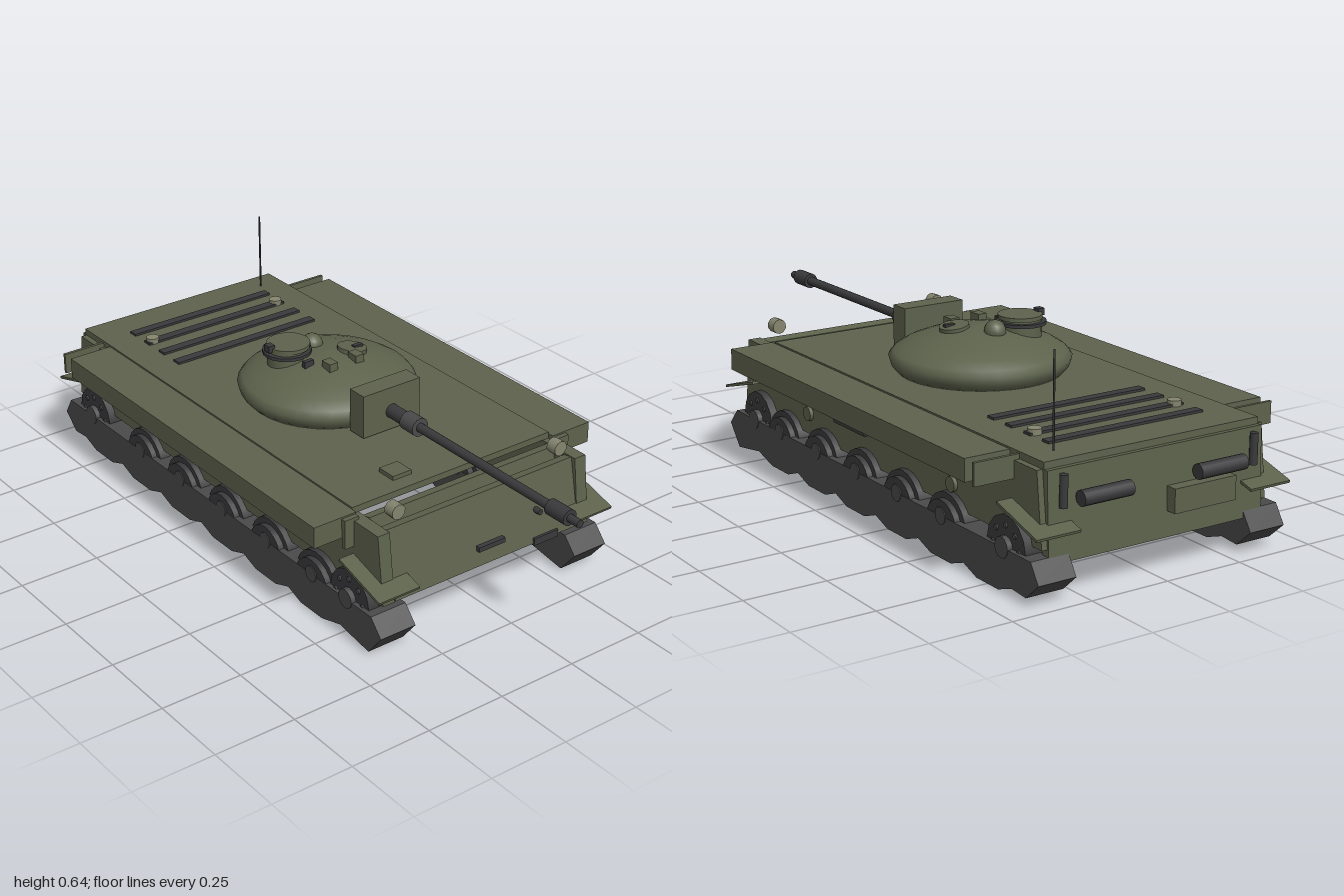
import * as THREE from 'three';

const olive = new THREE.MeshStandardMaterial({ color: 0x5d624c });
const dark = new THREE.MeshStandardMaterial({ color: 0x3a3a3c });
const rubber = new THREE.MeshStandardMaterial({ color: 0x4a4a4a });
const lampMat = new THREE.MeshStandardMaterial({ color: 0x85856f });

export function createModel() {
  const model = new THREE.Group();

  function add(name, geo, mat, x, y, z, parent = model) {
    const m = new THREE.Mesh(geo, mat);
    m.name = name;
    m.position.set(x, y, z);
    parent.add(m);
    return m;
  }
  // box given by its extents on each axis
  function box(name, mat, [x0, x1], [y0, y1], [z0, z1]) {
    return add(name, new THREE.BoxGeometry(x1 - x0, y1 - y0, z1 - z0), mat,
      (x0 + x1) / 2, (y0 + y1) / 2, (z0 + z1) / 2);
  }
  // cylinder along the chosen axis
  function cyl(name, mat, axis, r, len, x, y, z, seg = 16) {
    const g = new THREE.CylinderGeometry(r, r, len, seg);
    if (axis === 'x') g.rotateZ(Math.PI / 2);
    if (axis === 'z') g.rotateX(Math.PI / 2);
    return add(name, g, mat, x, y, z);
  }
  // plate across the hull from a (z, y) line, w half width, t thickness
  function plate(name, w, t, z0, y0, z1, y1, cx = 0) {
    const len = Math.hypot(z1 - z0, y1 - y0);
    const m = add(name, new THREE.BoxGeometry(w * 2, len, t), olive, cx, (y0 + y1) / 2, (z0 + z1) / 2);
    m.rotation.x = Math.atan2(z1 - z0, y1 - y0);
    return m;
  }

  // open-bottomed hull
  box('deck', olive, [-0.358, 0.358], [0.36, 0.38], [-0.93, 0.482]);
  plate('innerFrontPlate', 0.335, 0.03, 0.55, 0.15, 0.515, 0.36);
  plate('outerFrontPlate', 0.335, 0.032, 0.632, 0.15, 0.59, 0.357);
  plate('rearPlate', 0.358, 0.03, -0.942, 0.107, -0.93, 0.36);

  // side profile shared by both hull walls
  const wall = new THREE.Shape([[0.645, 0.15], [0.62, 0.36], [-0.925, 0.36], [-0.95, 0.15]]
    .map(([z, y]) => new THREE.Vector2(-z, y)));
  const wallGeo = new THREE.ExtrudeGeometry(wall, { depth: 0.04, bevelEnabled: false });
  wallGeo.translate(0, 0, -0.02).rotateY(Math.PI / 2);

  // track outline, scalloped under the wheels
  const wheelZ = [0.365, 0.14, -0.085, -0.31, -0.535, -0.76];
  const outline = [[-0.955, 0.13], [0.64, 0.13], [0.685, 0.08], [0.63, 0.012], [0.575, 0.02], [0.5, 0.032]];
  for (const z of wheelZ) {
    outline.push([z + 0.05, 0.008], [z - 0.05, 0.008], [z - 0.112, 0.03]);
  }
  outline.push([-0.935, 0.025], [-0.99, 0.075]);
  const trackShape = new THREE.Shape(outline.map(([z, y]) => new THREE.Vector2(-z, y)));
  const trackGeo = new THREE.ExtrudeGeometry(trackShape, { depth: 0.12, bevelEnabled: false });
  trackGeo.translate(0, 0, -0.06).rotateY(Math.PI / 2);

  for (const s of [-1, 1]) {
    const span = (a, b) => (s > 0 ? [a, b] : [-b, -a]);
    add('hullSide', wallGeo, olive, s * 0.356, 0, 0);
    box('fender', olive, span(0.358, 0.5), [0.31, 0.375], [-0.78, 0.5]);
    box('rearFenderBracket', olive, span(0.36, 0.5), [0.31, 0.375], [-0.825, -0.815]);
    box('frontFenderBracket', olive, span(0.36, 0.407), [0.28, 0.37], [0.5, 0.515]);
    plate('frontMudguard', 0.07, 0.008, 0.69, 0.2, 0.51, 0.252, s * 0.355);
    plate('rearMudguard', 0.07, 0.008, -0.995, 0.2, -0.815, 0.252, s * 0.355);

    // fittings on the hull side
    for (const z of [0.24, -0.54]) cyl('sidePort', olive, 'x', 0.022, 0.06, s * 0.357, 0.215, z);
    box('sideRail', dark, span(0.33, 0.385), [0.23, 0.243], [-0.09, 0.085]);
    box('sideVent', olive, span(0.33, 0.385), [0.286, 0.325], [-0.58, -0.465]);

    // running gear
    add('track', trackGeo, rubber, s * 0.354, 0, 0);
    for (const z of wheelZ.slice(0, 5)) {
      cyl('roadWheel', dark, 'x', 0.095, 0.08, s * 0.355, 0.098, z, 20);
      cyl('wheelRim', dark, 'x', 0.075, 0.118, s * 0.354, 0.1, z, 20);
      cyl('wheelHub', rubber, 'x', 0.025, 0.124, s * 0.354, 0.13, z, 12);
    }
    for (const z of [0.525, -0.825]) {
      cyl('sprocket', dark, 'x', 0.088, 0.09, s * 0.355, 0.128, z, 14);
      cyl('sprocketHub', rubber, 'x', 0.03, 0.124, s * 0.354, 0.13, z, 12);
      for (let i = 0; i < 8; i++) {
        const a = (i / 8) * Math.PI * 2;
        cyl('sprocketBolt', rubber, 'x', 0.008, 0.1, s * 0.355, 0.128 + 0.06 * Math.sin(a), z + 0.06 * Math.cos(a), 6);
      }
    }

    // lamps and rear fittings
    cyl('headlamp', lampMat, 'z', 0.023, 0.035, s * 0.293, 0.4, 0.587, 10);
    cyl('exhaust', dark, 'x', 0.022, 0.16, s * 0.193, 0.28, -0.975);
    cyl('rearCanister', dark, 'y', 0.012, 0.09, s * 0.318, 0.305, -0.962, 10);
    cyl('fillerCap', lampMat, 'y', 0.02, 0.02, s * 0.237, 0.387, -0.72);
  }

  // front and rear plate fittings
  box('towBar', dark, [-0.04, 0.055], [0.2, 0.215], [0.6, 0.65]);
  box('frontStep', dark, [0.165, 0.255], [0.147, 0.17], [0.6, 0.652]);
  cyl('towKnob', dark, 'z', 0.009, 0.05, 0.185, 0.25, 0.625, 10);
  box('rearStowageBox', olive, [-0.24, -0.03], [0.18, 0.25], [-0.985, -0.94]);

  // deck fittings
  for (const z of [-0.8, -0.717, -0.632, -0.548]) box('engineGrille', dark, [-0.26, 0.26], [0.375, 0.387], [z - 0.015, z + 0.015]);
  box('driverHatch', olive, [-0.178, -0.113], [0.375, 0.393], [0.37, 0.433]);
  const antenna = cyl('antenna', dark, 'y', 0.003, 0.265, 0.27, 0.51, -0.85, 6);
  antenna.quaternion.setFromUnitVectors(new THREE.Vector3(0, 1, 0), new THREE.Vector3(-0.018, 0.26, 0.026).normalize());

  // domed turret
  const profile = [[0, 0.38], [0.245, 0.38], [0.262, 0.4], [0.27, 0.425], [0.255, 0.443], [0.222, 0.463],
    [0.18, 0.48], [0.12, 0.5], [0.06, 0.511], [0, 0.515]].map(([r, y]) => new THREE.Vector2(r, y));
  add('turret', new THREE.LatheGeometry(profile, 32), olive, 0, 0, -0.115);
  box('mantlet', olive, [-0.103, 0.103], [0.387, 0.522], [0.135, 0.2]);

  // gun: [radius, start z, end z]
  const gun = [['gunRoot', 0.022, 0.2, 0.275], ['gunSleeve', 0.029, 0.272, 0.33], ['barrel', 0.014, 0.32, 0.92],
    ['muzzleBrake', 0.024, 0.885, 0.96], ['muzzleTip', 0.012, 0.96, 1.0]];
  for (const [name, r, a, b] of gun) {
    cyl(name, name === 'gunSleeve' ? rubber : dark, 'z', r, b - a, 0, 0.446, (a + b) / 2, 14);
  }

  // turret roof
  cyl('cupola', olive, 'y', 0.06, 0.06, -0.1, 0.505, -0.18, 20);
  cyl('cupolaRing', dark, 'y', 0.074, 0.01, -0.1, 0.523, -0.18, 20);
  cyl('cupolaLid', olive, 'y', 0.066, 0.012, -0.095, 0.541, -0.18, 20);
  box('cupolaSight', dark, [-0.172, -0.15], [0.535, 0.556], [-0.195, -0.17]);
  add('roofVent', new THREE.SphereGeometry(0.033, 16, 10), olive, 0, 0.51, -0.19);
  cyl('loaderHatch', olive, 'y', 0.045, 0.014, 0.075, 0.511, -0.09, 16).rotation.z = -0.15;
  for (const s of [-1, 1]) {
    box('periscope', olive, [s * 0.048 - 0.015, s * 0.048 + 0.015], [0.49, 0.526], [-0.055, -0.015]);
    box('roofLug', dark, [s * 0.091 - 0.016, s * 0.091 + 0.016], [0.49, 0.522], [-0.093, -0.078]);
  }
  return model;
}
